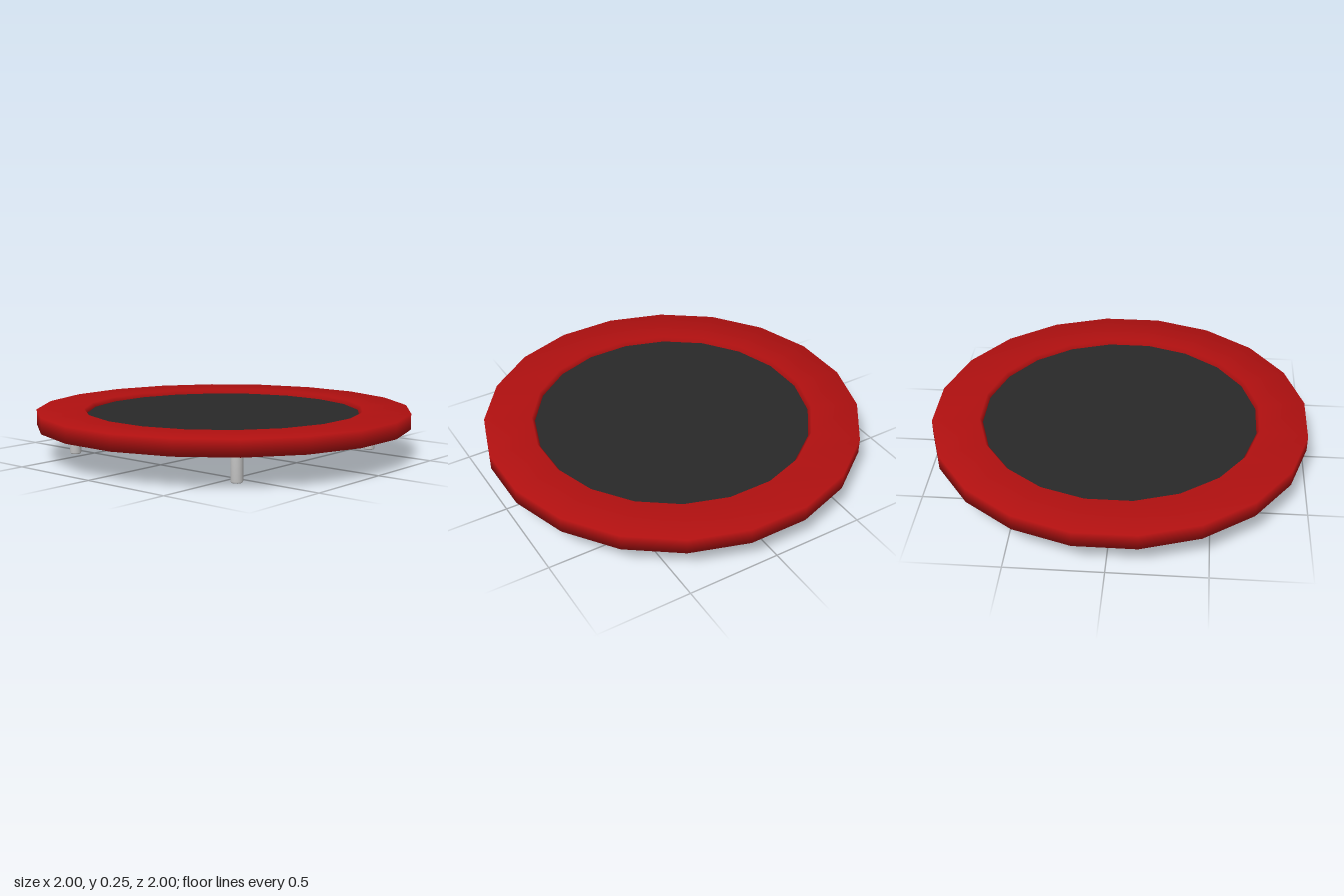
import * as THREE from 'three';
import { mergeVertices } from 'three/addons/utils/BufferGeometryUtils.js';

const SIDES = 20;
const TURN = Math.PI / SIDES; // puts a flat side towards each axis

// Lathe with shared vertices, so shading rolls softly over its edges
function softLathe(profile, sides, turn = 0) {
  const points = profile.map(([r, y]) => new THREE.Vector2(r, y));
  const geometry = new THREE.LatheGeometry(points, sides, turn);
  geometry.deleteAttribute('normal');
  geometry.deleteAttribute('uv');
  const merged = mergeVertices(geometry, 1e-4);
  merged.computeVertexNormals();
  return merged;
}

export function createModel() {
  const padRed = new THREE.MeshStandardMaterial({ color: 0xb01010 });
  padRed.name = 'padRed';
  const matBlack = new THREE.MeshStandardMaterial({ color: 0x282828 });
  matBlack.name = 'matBlack';
  const legGrey = new THREE.MeshStandardMaterial({ color: 0xc0c0c0 });
  legGrey.name = 'legGrey';

  const model = new THREE.Group();
  model.name = 'trampoline';
  const add = (name, geometry, material) => {
    const mesh = new THREE.Mesh(geometry, material);
    mesh.name = name;
    model.add(mesh);
    return mesh;
  };

  // Padded rim, upright outside and slightly bevelled inside
  add('rimPad', softLathe([
    [0.758, 0.16], [1.0125, 0.16], [1.0125, 0.245], [0.758, 0.245],
    [0.742, 0.222], [0.742, 0.18], [0.758, 0.16],
  ], SIDES, TURN), padRed);

  // Jumping mat
  const mat = add('jumpMat',
    new THREE.CylinderGeometry(0.744, 0.744, 0.042, SIDES, 1, false, TURN), matBlack);
  mat.position.y = 0.201;

  // Four legs under the rim
  const legGeometry = softLathe([
    [0, 0], [0.026, 0], [0.031, 0.007], [0.031, 0.2], [0, 0.2],
  ], 16);
  for (const x of [-1, 1]) {
    for (const z of [-1, 1]) {
      const leg = add(`${z > 0 ? 'front' : 'back'}${x > 0 ? 'Left' : 'Right'}Leg`, legGeometry, legGrey);
      leg.position.set(x * 0.572, 0, z * 0.572);
    }
  }

  return model;
}
